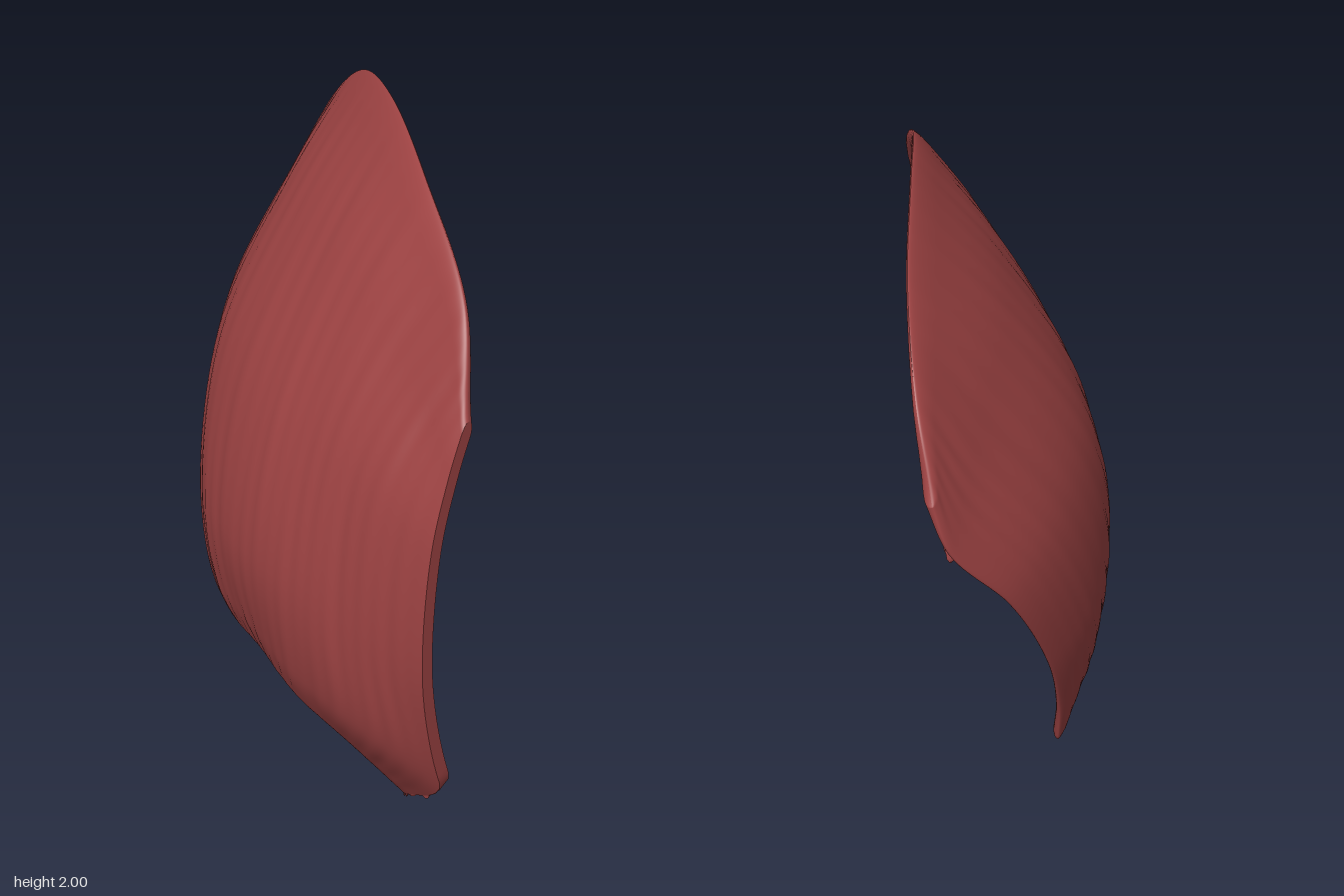
import * as THREE from 'three';

const NU = 140, NV = 80;         // facets across and up the shell
const HALF_WIDTH = 0.83;         // the left edge is cut flat here
const ROUND = 0.05;              // share of the shell used to round its rim

// Cross-sections of the outer face from the bottom rim to the top rim
const SECTIONS = [
  [[-.56, .14, 0], [-.4, .22, .22], [-.2, .28, .37], [0, .3, .46], [.2, .25, .52], [.4, .14, .49], [.56, 0, .43]],
  [[-.64, .38, -.07], [-.5, .42, .18], [-.25, .45, .41], [0, .46, .52], [.25, .42, .595], [.55, .36, .62], [.83, .26, .575]],
  [[-.755, .72, -.22], [-.62, .75, .05], [-.3, .75, .4], [0, .75, .56], [.28, .75, .635], [.55, .72, .655], [.83, .66, .665]],
  [[-.83, 1.1, -.44], [-.71, 1.17, -.19], [-.38, 1.2, .21], [0, 1.2, .45], [.28, 1.2, .535], [.55, 1.18, .59], [.83, 1.08, .64]],
  [[-.81, 1.36, -.64], [-.68, 1.52, -.47], [-.37, 1.63, -.11], [0, 1.65, .17], [.32, 1.62, .34], [.62, 1.5, .46], [.83, 1.3, .57]],
  [[-.775, 1.51, -.67], [-.64, 1.74, -.62], [-.38, 1.93, -.45], [0, 2.005, -.15], [.36, 1.93, .13], [.7, 1.72, .365], [.83, 1.45, .5]],
].map(row => new THREE.CatmullRomCurve3(row.map(p => new THREE.Vector3(...p))));

// Repeatable pseudo-random number for an index
const noise = i => {
  const s = Math.sin(i * 127.1 + 11.7) * 43758.5453;
  return s - Math.floor(s);
};

// Even steps made denser towards both ends, for the rounded rim
const ease = t => 0.5 - 0.5 * Math.cos(Math.PI * t);

// Long slanted streaks running up the shell
function streak(u, v) {
  const t = u + 0.04 * Math.sin(v * 3);
  return 0.4 * Math.sin(t * 83 + v * 3) * Math.sin(t * 19 + v * 4)
    + 0.35 * Math.sin(t * 151 - v * 4) + 0.25 * Math.sin(t * 47 + v * 6);
}

// Outer and inner point grids, meeting along the rounded rim
function buildGrids() {
  const grid = [];
  for (let i = 0; i <= NU; i++) {
    const column = new THREE.CatmullRomCurve3(SECTIONS.map(c => c.getPoint(ease(i / NU))));
    for (let j = 0; j <= NV; j++) grid[j * (NU + 1) + i] = column.getPoint(ease(j / NV));
  }
  const at = (i, j) => grid[THREE.MathUtils.clamp(j, 0, NV) * (NU + 1) + THREE.MathUtils.clamp(i, 0, NU)];
  const outer = [], inner = [];
  for (let j = 0; j <= NV; j++) {
    for (let i = 0; i <= NU; i++) {
      const u = ease(i / NU), v = ease(j / NV);
      const across = at(i + 1, j).clone().sub(at(i - 1, j));
      const up = at(i, j + 1).clone().sub(at(i, j - 1));
      const normal = across.cross(up).normalize();
      const gap = 1 - Math.min(1, Math.min(u, v, 1 - v) / ROUND);
      const full = Math.sqrt(1 - gap * gap);
      const relief = Math.min(1, 8 * Math.min(u, 1 - u, v, 1 - v));
      const p = at(i, j).clone().addScaledVector(normal, -0.015 * (1 - full) + 0.004 * relief * streak(u, v));
      const q = at(i, j).clone().addScaledVector(normal, -0.015 - 0.03 * full + 0.005 * relief * streak(u + 0.3, v));
      // Ragged corners of the bottom rim
      let jag = 0;
      if (u < 0.2) jag = 0.05 * (noise(Math.floor(u * 90)) - 0.4) * Math.max(0, 1 - v / 0.03);
      if (i === NU && j > 0 && v < 0.2) jag = 0.03 * (noise(j + 200) - 0.5);
      [p, q].forEach(k => {
        k.x = THREE.MathUtils.clamp(k.x, -HALF_WIDTH, HALF_WIDTH);
        k.y = Math.max(0, k.y + jag);
      });
      // Keep the cut edge in one plane
      if (i === NU && v >= 0.2) p.x = q.x = HALF_WIDTH;
      outer.push(p);
      inner.push(q);
    }
  }
  return { outer, inner };
}

// Smooth sheet over a grid of points; flip turns it to face backward
function sheet(points, nu, nv, flip) {
  const index = [];
  for (let j = 0; j < nv; j++) {
    for (let i = 0; i < nu; i++) {
      const a = j * (nu + 1) + i, b = a + 1, c = b + nu + 1, d = a + nu + 1;
      if (flip) index.push(a, c, b, a, d, c);
      else index.push(a, b, c, a, c, d);
    }
  }
  const geometry = new THREE.BufferGeometry().setFromPoints(points);
  geometry.setIndex(index);
  geometry.computeVertexNormals();
  return geometry;
}

export function createModel() {
  const group = new THREE.Group();
  group.name = 'curvedShell';
  const material = new THREE.MeshStandardMaterial({ color: 0x9e4343, side: THREE.DoubleSide });
  const add = (name, geometry) => {
    const mesh = new THREE.Mesh(geometry, material);
    mesh.name = name;
    group.add(mesh);
  };

  const { outer, inner } = buildGrids();
  add('outerFace', sheet(outer, NU, NV, false));
  add('innerFace', sheet(inner, NU, NV, true));

  // Flat strip closing the thickness at the cut edge
  const onEdge = (_, k) => k % (NU + 1) === NU;
  add('cutEdge', sheet([...inner.filter(onEdge), ...outer.filter(onEdge)], NV, 1, false));
  return group;
}
